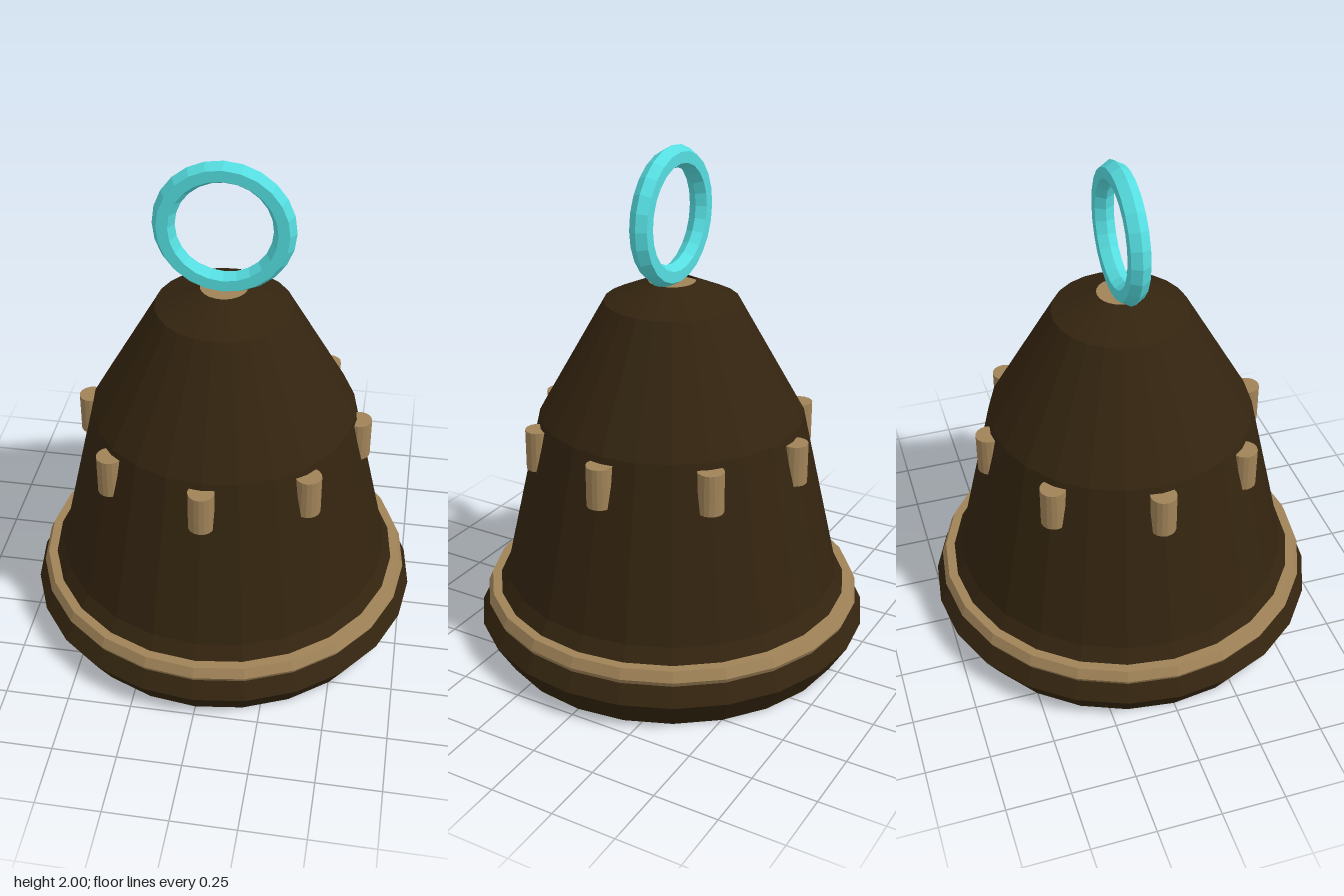
import * as THREE from 'three';

const flat = (name, color, extra = {}) => {
  const m = new THREE.MeshStandardMaterial({ color, flatShading: true, ...extra });
  m.name = name;
  return m;
};

// Revolves [radius, height] pairs; a quarter-turn aligned 24-sided lathe
const lathe = (pairs) =>
  new THREE.LatheGeometry(pairs.map(([r, y]) => new THREE.Vector2(r, y)), 24);

export function createModel() {
  const bell = new THREE.Group();
  bell.name = 'bell';

  const darkBronze = flat('darkBronze', 0x33240f, { side: THREE.DoubleSide });
  const brass = flat('brass', 0xa08358);
  const turquoise = flat('turquoise', 0x55dde0);

  const add = (name, geometry, material, x = 0, y = 0, z = 0) => {
    const mesh = new THREE.Mesh(geometry, material);
    mesh.name = name;
    mesh.position.set(x, y, z);
    bell.add(mesh);
    return mesh;
  };

  // Open shell with flared lip and a small hole at the crown
  add('bellShell', lathe([
    [0.71, 0], [0.78, 0.115], [0.665, 0.3], [0.515, 0.965], [0.26, 1.415], [0.09, 1.49],
  ]), darkBronze);

  // Raised band above the lip
  add('lipBand', lathe([
    [0.715, 0.185], [0.742, 0.185], [0.752, 0.205], [0.735, 0.245], [0.69, 0.245],
  ]), brass);

  // Clapper rod hanging from the crown
  add('clapper', new THREE.CylinderGeometry(0.115, 0.115, 1.395, 24), brass, 0, 0.7725, 0);

  // Eight studs round the shoulder
  const stud = new THREE.CylinderGeometry(0.05, 0.05, 0.16, 16);
  for (let i = 0; i < 8; i++) {
    const a = (i * Math.PI) / 4;
    add('stud', stud, brass, 0.53 * Math.sin(a), 0.86, 0.53 * Math.cos(a)).rotation.y = a;
  }

  // Hanging ring with a six-sided section
  add('hangingRing', new THREE.TorusGeometry(0.2225, 0.0425, 6, 24), turquoise, 0, 1.735, 0);

  return bell;
}
